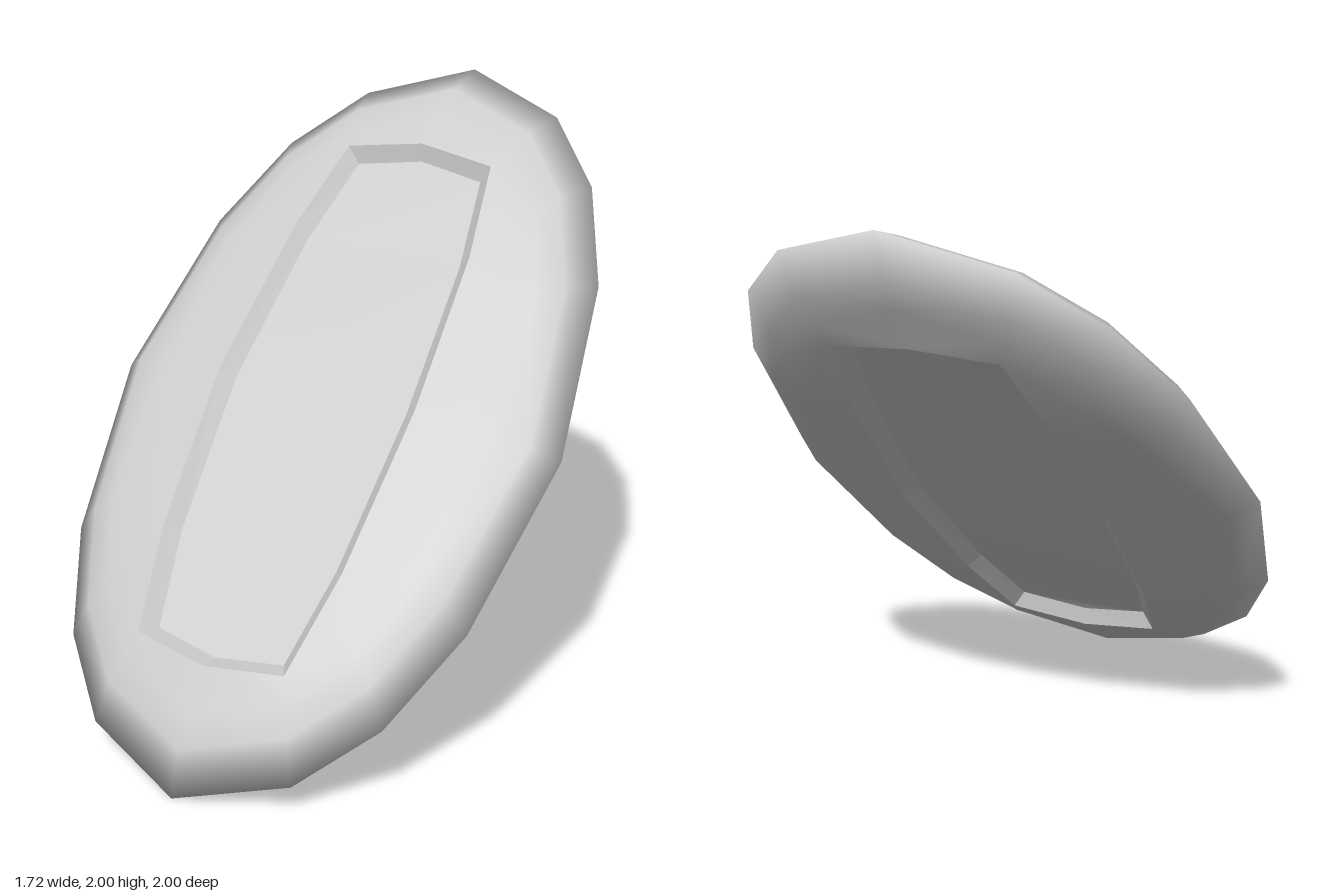
import * as THREE from 'three';
import { mergeVertices } from 'three/addons/utils/BufferGeometryUtils.js';

// Quarter outlines from the tip to the side: [across, along, height above the mid plane]
const RIM = [[0, 1.414, 0], [0.385, 1.259, 0], [0.61, 1.004, 0], [0.765, 0.636, 0], [0.86, 0, 0]];
const SHOULDER = RIM.map(([x, u]) => [x * 0.9, u * 0.9, 0.08]);
const CROWN = [[0, 1.16, 0.108], [0.315, 1.03, 0.108], [0.5, 0.82, 0.108], [0.6, 0.54, 0.12], [0.64, 0, 0.125]];
const POCKET = [[0, 1.0, 0.14], [0.285, 0.954, 0.132], [0.285, 0.954, 0.132], [0.35, 0.587, 0.15], [0.385, 0, 0.17]];
const FLOOR = [[0, 0.954, 0.094], [0.245, 0.912, 0.086], [0.245, 0.912, 0.086], [0.305, 0.57, 0.104], [0.337, 0, 0.124]];

// Mirror a quarter outline into a closed loop of 16 points
function loop(quarter, side) {
  const pts = [];
  for (let i = 0; i < 16; i++) {
    const k = i % 8 <= 4 ? i % 8 : 8 - (i % 8);
    const [x, u, n] = quarter[k];
    pts.push(new THREE.Vector3(i > 8 ? -x : x, i > 4 && i < 12 ? -u : u, n * side));
  }
  return pts;
}

// Add a triangle, flipped for the back face, skipping collapsed ones
function tri(out, side, a, b, c) {
  if (a.distanceTo(b) < 1e-5 || b.distanceTo(c) < 1e-5 || c.distanceTo(a) < 1e-5) return;
  for (const p of side > 0 ? [a, b, c] : [a, c, b]) out.push(p.x, p.y, p.z);
}

// Bridge an outer loop to an inner loop, with diagonals mirrored per quadrant
function band(out, side, outer, inner) {
  const a = loop(outer, side), b = loop(inner, side);
  for (let i = 0; i < 16; i++) {
    const j = (i + 1) % 16;
    if (Math.floor(i / 4) % 2) {
      tri(out, side, a[i], b[i], b[j]);
      tri(out, side, a[i], b[j], a[j]);
    } else {
      tri(out, side, a[i], b[i], a[j]);
      tri(out, side, b[i], b[j], a[j]);
    }
  }
}

// Fill a loop with rows running across it
function cap(out, side, quarter) {
  const p = loop(quarter, side);
  for (let i = 0; i < 8; i++) {
    const l0 = p[(16 - i) % 16], l1 = p[15 - i];
    tri(out, side, p[i], l0, l1);
    tri(out, side, p[i], l1, p[i + 1]);
  }
}

function part(name, positions, smooth) {
  let geo = new THREE.BufferGeometry();
  geo.setAttribute('position', new THREE.Float32BufferAttribute(positions, 3));
  if (smooth) geo = mergeVertices(geo, 1e-4);
  geo.computeVertexNormals();
  const mesh = new THREE.Mesh(geo, new THREE.MeshStandardMaterial({ color: 0xcccccc, flatShading: !smooth }));
  mesh.name = name;
  return mesh;
}

export function createModel() {
  const group = new THREE.Group();
  group.name = 'ovalPanel';

  // Rounded oval body, smooth over the rim
  const body = [];
  for (const side of [1, -1]) {
    band(body, side, RIM, SHOULDER);
    band(body, side, SHOULDER, CROWN);
    band(body, side, CROWN, POCKET);
  }
  group.add(part('body', body, true));

  // Sunken pocket on each face: bevelled wall and floor
  for (const [label, side] of [['front', 1], ['back', -1]]) {
    const wall = [], floor = [];
    band(wall, side, POCKET, FLOOR);
    cap(floor, side, FLOOR);
    group.add(part(label + 'PocketWall', wall, false), part(label + 'PocketFloor', floor, true));
  }

  // Lean the panel back by 45 degrees, resting on its lower tip
  group.rotation.x = -Math.PI / 4;
  group.position.y = 1;
  const root = new THREE.Group();
  root.add(group);
  return root;
}
